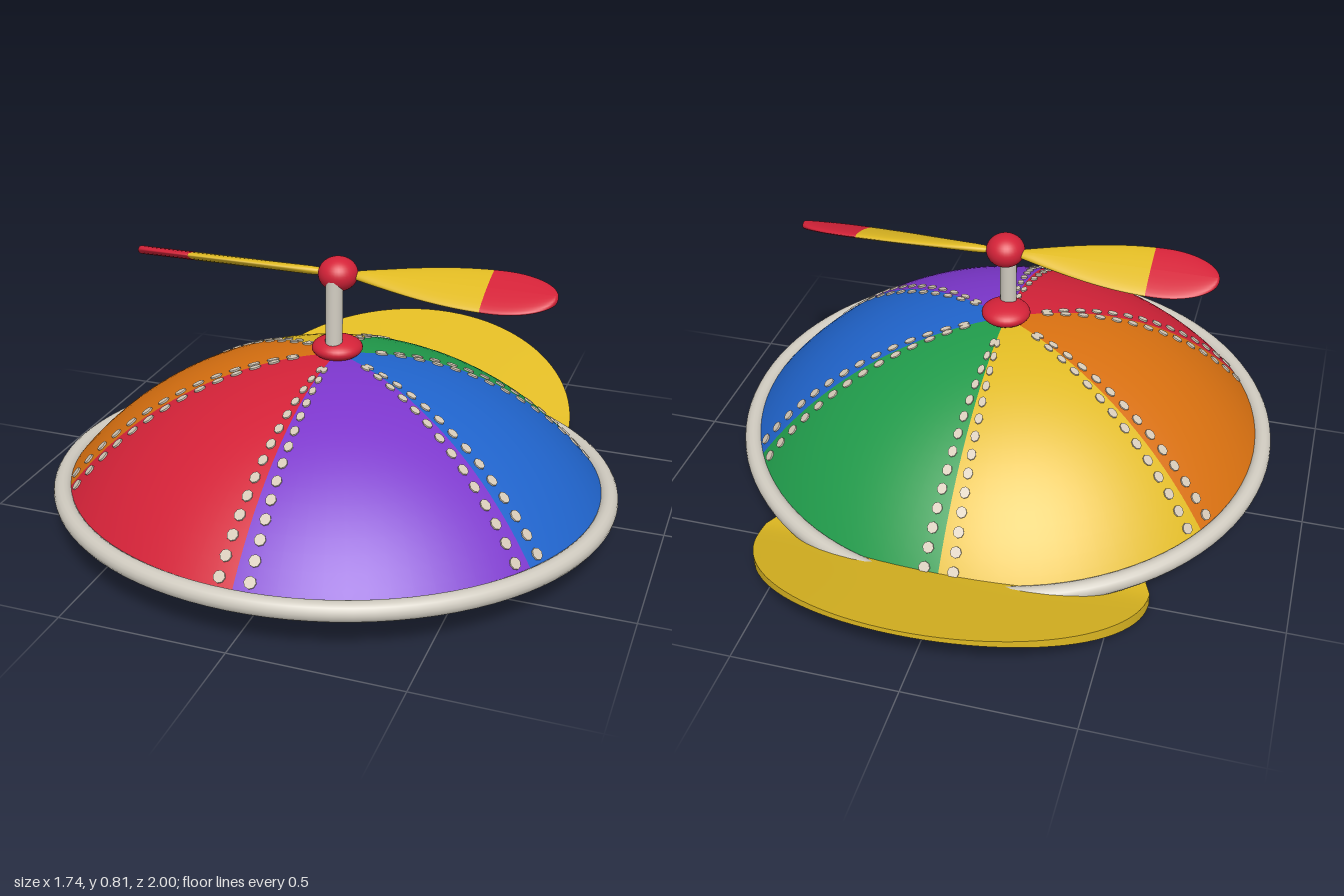
import * as THREE from 'three';
import { mergeGeometries } from 'three/addons/utils/BufferGeometryUtils.js';

const paint = (name, color, side = THREE.FrontSide) => {
  const m = new THREE.MeshStandardMaterial({ color, side });
  m.name = name;
  return m;
};

function add(parent, name, geometry, material, x = 0, y = 0, z = 0) {
  const mesh = new THREE.Mesh(geometry, material);
  mesh.name = name;
  mesh.position.set(x, y, z);
  parent.add(mesh);
  return mesh;
}

// Moves every vertex of a geometry by a rule
function reshape(geometry, rule) {
  const p = geometry.attributes.position, v = new THREE.Vector3();
  for (let i = 0; i < p.count; i++) {
    rule(v.fromBufferAttribute(p, i));
    p.setXYZ(i, v.x, v.y, v.z);
  }
  geometry.computeVertexNormals();
  return geometry;
}

// Propeller blade section: narrow root, broad paddle, round tip
function bladeWidth(x) {
  if (x < 0.48) return 0.012 + 0.083 * Math.sin((Math.PI / 2) * (x - 0.04) / 0.44);
  return 0.095 * Math.sqrt(Math.max(0, 1 - ((x - 0.48) / 0.176) ** 2));
}
function bladePart(x0, x1) {
  return reshape(new THREE.CylinderGeometry(1, 1, 1, 24, 24, true), v => {
    const x = x0 + (x1 - x0) * Math.sin((v.y + 0.5) * Math.PI / 2);
    const w = bladeWidth(x);
    v.set(x, v.z * Math.min(0.013, w * 0.6), v.x * w);
  });
}

export function createModel() {
  const model = new THREE.Group();
  model.name = 'propellerCap';
  const both = THREE.DoubleSide;
  const red = paint('red', 0xd42238, both);
  const yellow = paint('yellow', 0xe0ba22, both);
  const orange = paint('orange', 0xd87010, both);
  const purple = paint('purple', 0x7c36cc, both);
  const blue = paint('blue', 0x2064cc, both);
  const green = paint('green', 0x209a4a, both);
  const grey = paint('light grey', 0xd0cbc0);
  const thread = paint('beige thread', 0xd4c8b6);

  // Tilted cap body
  const cap = new THREE.Group();
  cap.name = 'capBody';
  cap.position.set(0, 0.115, 0.153);
  cap.rotation.x = -0.045;
  cap.scale.z = 0.97;
  model.add(cap);

  // Six coloured dome panels
  const R = 1.053, height = 0.405, edge = Math.asin(0.83 / R);
  const panels = { orange, red, purple, blue, green, yellow };
  Object.entries(panels).forEach(([name, material], i) => {
    const geo = new THREE.SphereGeometry(R, 14, 20, (i - 0.5) * Math.PI / 3, Math.PI / 3, 0, edge);
    add(cap, name + 'Panel', geo, material, 0, height - R, 0);
  });

  // Two rows of stitches beside each seam, showing inside and out
  const stitches = [];
  const up = new THREE.Vector3(0, 1, 0);
  for (let seam = 0; seam < 6; seam++) {
    for (const side of [-1, 1]) {
      const a = (seam + 0.5) * Math.PI / 3 + side * 0.055;
      for (let k = 0; k < 14; k++) {
        const t = 0.13 + k * (edge - 0.16) / 13.3;
        const n = new THREE.Vector3(Math.cos(a) * Math.sin(t), Math.cos(t), Math.sin(a) * Math.sin(t));
        const g = new THREE.CylinderGeometry(1, 1, 0.009, 8);
        g.scale(0.018, 1, 0.007 + 0.014 * Math.sin(t));
        g.rotateY(-a);
        g.applyQuaternion(new THREE.Quaternion().setFromUnitVectors(up, n));
        g.translate(n.x * R, n.y * R + height - R, n.z * R);
        stitches.push(g);
      }
    }
  }
  add(cap, 'stitches', mergeGeometries(stitches), thread);

  // Rolled rim
  add(cap, 'rim', new THREE.TorusGeometry(0.84, 0.029, 16, 96).rotateX(Math.PI / 2), grey);

  // Upswept visor at the back, thicker along its inner edge
  const visor = reshape(new THREE.BoxGeometry(2, 2, 2, 48, 1, 20), v => {
    const s = Math.sin(v.x * Math.PI / 2), c = Math.cos(v.x * Math.PI / 2);
    const f = (1 - v.z) / 2;
    const x = THREE.MathUtils.lerp(0.56 * s, 0.6 * s, f);
    const z = THREE.MathUtils.lerp(-0.6 + 0.21 * s * s, -0.49 - 0.51 * c, f);
    const d = -z - 0.5;
    const mid = 0.022 + 0.02 * (1 - (x / 0.6) ** 2) + 0.19 * (d + Math.sqrt(d * d + 0.0025));
    const half = THREE.MathUtils.lerp(0.018, 0.008 + 0.012 * s * s, f);
    v.set(x, mid + v.y * half, z);
  });
  add(model, 'visor', visor, yellow);

  // Knob, post and hub
  const knob = add(model, 'knob', new THREE.SphereGeometry(1, 32, 20), red, 0, 0.54, 0.135);
  knob.scale.set(0.077, 0.034, 0.077);
  const post = add(model, 'post', new THREE.CylinderGeometry(0.026, 0.026, 0.23, 24), grey, 0, 0.645, 0.162);
  post.rotation.x = -0.03;
  const hub = add(model, 'hub', new THREE.SphereGeometry(1, 32, 20), red, 0, 0.77, 0.125);
  hub.scale.set(0.06, 0.052, 0.06);

  // Two pitched blades with red tips
  const propeller = new THREE.Group();
  propeller.name = 'propeller';
  propeller.position.set(0, 0.768, 0.117);
  model.add(propeller);
  for (const [name, turn] of [['leftBlade', 0], ['rightBlade', Math.PI]]) {
    const arm = new THREE.Group();
    arm.name = name;
    arm.rotation.y = turn;
    const blade = new THREE.Group();
    blade.name = name + 'Pitch';
    blade.rotation.x = 0.37;
    add(blade, name + 'Paddle', bladePart(0.04, 0.45), yellow);
    add(blade, name + 'Tip', bladePart(0.45, 0.656), red);
    arm.add(blade);
    propeller.add(arm);
  }
  return model;
}
